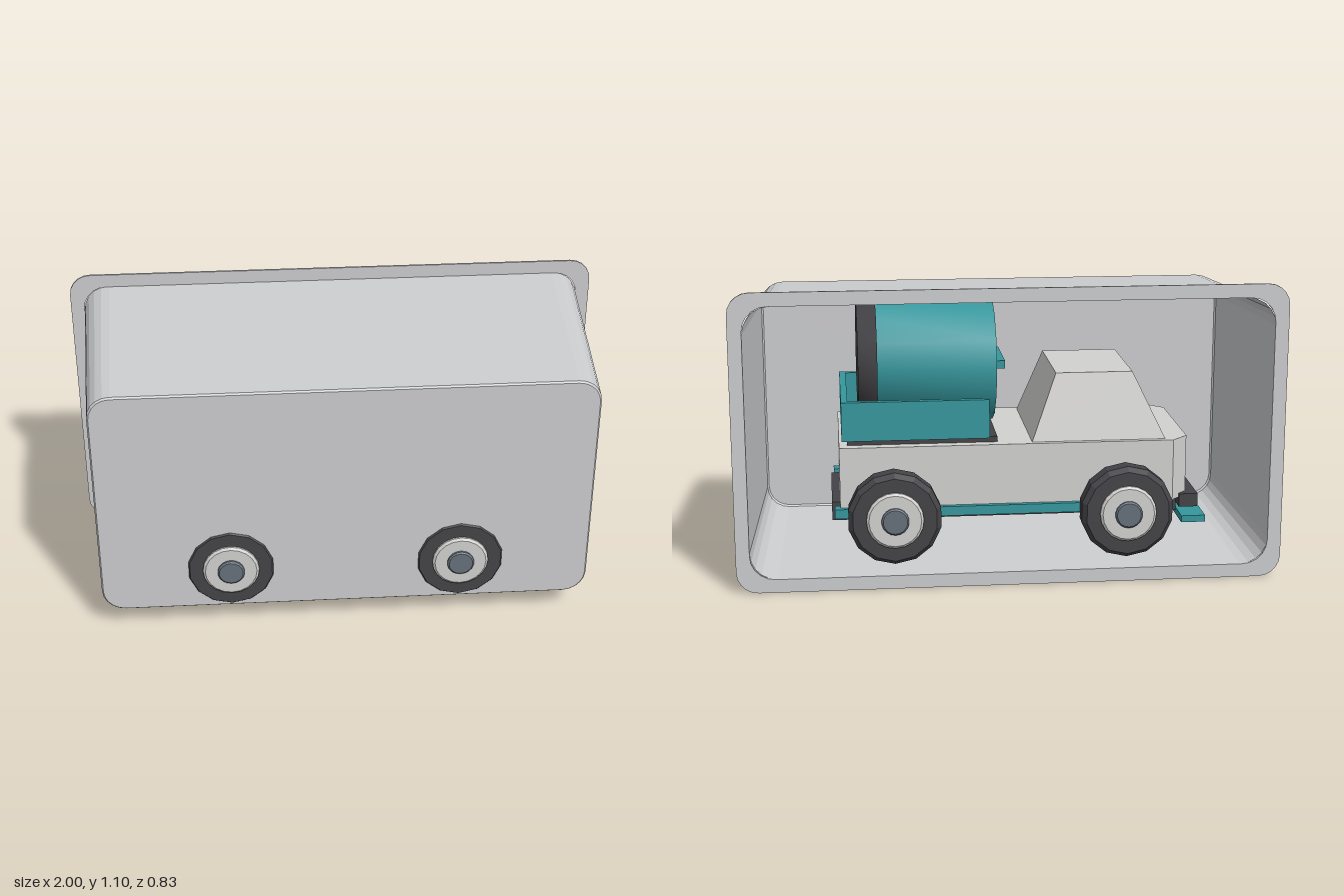
import * as THREE from 'three';
import { toCreasedNormals } from 'three/addons/utils/BufferGeometryUtils.js';

const mat = (name, color) => {
  const m = new THREE.MeshStandardMaterial({ color });
  m.name = name;
  return m;
};

export function createModel() {
  const model = new THREE.Group();
  model.name = 'truckInTray';
  const tray = mat('trayGrey', 0xcccdcf);
  tray.side = THREE.DoubleSide;
  const pale = mat('paleGrey', 0xd2d1cf);
  const teal = mat('teal', 0x36979d);
  const dark = mat('charcoal', 0x444347);
  const slate = mat('slate', 0x66717c);

  const add = (parent, name, geo, material, x = 0, y = 0, z = 0) => {
    const m = new THREE.Mesh(geo, material);
    m.name = name;
    m.position.set(x, y, z);
    parent.add(m);
    return m;
  };
  // box given by its limits on each axis
  const box = (parent, name, material, x0, x1, y0, y1, z0, z1) =>
    add(parent, name, new THREE.BoxGeometry(x1 - x0, y1 - y0, z1 - z0), material,
      (x0 + x1) / 2, (y0 + y1) / 2, (z0 + z1) / 2);
  const flat = (geo) => {
    const g = geo.index ? geo.toNonIndexed() : geo;
    g.computeVertexNormals();
    return g;
  };

  // rounded rectangle outline, counter-clockwise, centred at height cy
  const outline = (hw, hh, r, cy = 0.55, n = 5) => {
    const pts = [];
    [[1, -1], [1, 1], [-1, 1], [-1, -1]].forEach(([sx, sy], k) => {
      for (let i = 0; i <= n; i++) {
        const a = (k - 1 + i / n) * Math.PI / 2;
        pts.push(new THREE.Vector2(sx * (hw - r) + r * Math.cos(a), cy + sy * (hh - r) + r * Math.sin(a)));
      }
    });
    return pts;
  };

  // ---- tray: flange, tapered walls and closed front ----
  const trayGroup = new THREE.Group();
  trayGroup.name = 'tray';
  model.add(trayGroup);
  const flange = new THREE.Shape(outline(1, 0.55, 0.08));
  flange.holes.push(new THREE.Path(outline(0.95, 0.5, 0.09).reverse()));
  add(trayGroup, 'flange', new THREE.ExtrudeGeometry(flange, { depth: 0.008, bevelEnabled: false }), tray, 0, 0, -0.384);

  const sections = [[0.95, 0.5, 0.1, -0.384], [0.906, 0.459, 0.085, 0.378], [0.9, 0.453, 0.08, 0.385]];
  const pos = [], idx = [];
  const loops = sections.map(([w, h, r, z]) => outline(w, h, r).map((p) => [p.x, p.y, z]));
  const n = loops[0].length;
  loops.forEach((loop) => loop.forEach((p) => pos.push(...p)));
  for (let s = 0; s < loops.length - 1; s++) {
    for (let i = 0; i < n; i++) {
      const a = s * n + i, b = s * n + (i + 1) % n;
      idx.push(a, b, b + n, a, b + n, a + n);
    }
  }
  const walls = new THREE.BufferGeometry();
  walls.setAttribute('position', new THREE.Float32BufferAttribute(pos, 3));
  walls.setIndex(idx);
  add(trayGroup, 'trayWalls', flat(walls), tray);
  add(trayGroup, 'trayFront', new THREE.ShapeGeometry(new THREE.Shape(outline(0.9, 0.453, 0.08))), tray, 0, 0, 0.385);

  // ---- truck, cab towards -x ----
  const truck = new THREE.Group();
  truck.name = 'truck';
  model.add(truck);

  // body with chamfered nose corners, drawn in plan and extruded upwards
  const plan = new THREE.Shape([[0.62, -0.28], [0.62, 0.28], [-0.61, 0.28], [-0.67, 0.22], [-0.67, -0.22], [-0.61, -0.28]]
    .map(([x, z]) => new THREE.Vector2(x, -z)));
  const body = new THREE.ExtrudeGeometry(plan, { depth: 0.23, bevelEnabled: false });
  body.rotateX(-Math.PI / 2);
  add(truck, 'body', body, pale, 0, 0.275, 0);

  // cab: box whose top is drawn inwards
  const cab = new THREE.BoxGeometry(0.5, 0.25, 0.52);
  const cp = cab.attributes.position;
  for (let i = 0; i < cp.count; i++) {
    if (cp.getY(i) > 0) cp.setXYZ(i, cp.getX(i) * 0.57 + 0.012, cp.getY(i), cp.getZ(i) * 0.77);
  }
  add(truck, 'cab', flat(cab), pale, -0.335, 0.625, 0);

  // chassis, bumpers and side rails
  box(truck, 'chassis', dark, -0.64, 0.65, 0.21, 0.28, -0.2, 0.2);
  box(truck, 'noseBar', dark, -0.71, -0.64, 0.24, 0.29, -0.26, 0.26);
  box(truck, 'bumper', teal, -0.73, -0.64, 0.195, 0.22, -0.31, 0.31);
  for (const s of [-1, 1]) {
    box(truck, 'sideRail', teal, -0.36, 0.64, 0.245, 0.28, s * 0.275 - 0.025, s * 0.275 + 0.025);
    box(truck, 'bedSide', teal, 0.07, 0.61, 0.525, 0.67, s * 0.25 - 0.012, s * 0.25 + 0.012);
  }
  box(truck, 'bedEnd', teal, 0.586, 0.61, 0.525, 0.67, -0.24, 0.24);
  box(truck, 'bedFloor', teal, 0.07, 0.6, 0.525, 0.54, -0.25, 0.25);
  box(truck, 'bedBase', dark, 0.04, 0.59, 0.5, 0.526, -0.24, 0.24);

  // drum lying along x with a dark end ring and a bar on its front face
  const drum = (name, r0, r1, x0, x1, material) => {
    const g = new THREE.CylinderGeometry(r0, r1, x1 - x0, 14);
    g.rotateZ(-Math.PI / 2);
    add(truck, name, toCreasedNormals(g, 0.6), material, (x0 + x1) / 2, 0.775, 0);
  };
  drum('drum', 0.235, 0.235, 0.04, 0.48, teal);
  drum('drumRing', 0.215, 0.243, 0.475, 0.545, dark);
  box(truck, 'drumBar', teal, 0.0, 0.045, 0.755, 0.785, -0.13, 0.13);

  // ---- wheels ----
  const lathe = (pts, sides) => flat(new THREE.LatheGeometry(pts.map(([r, y]) => new THREE.Vector2(r, y)), sides));
  const tire = lathe([[0, 0.285], [0.155, 0.285], [0.17, 0.305], [0.172, 0.37], [0.155, 0.391], [0, 0.391]], 14);
  const rim = lathe([[0, 0.385], [0.104, 0.385], [0.104, 0.398], [0.095, 0.405], [0, 0.405]], 20);
  const cap = lathe([[0, 0.4], [0.05, 0.4], [0.05, 0.412], [0.044, 0.417], [0, 0.417]], 18);
  for (const x of [-0.425, 0.425]) {
    const axle = add(truck, 'axle', new THREE.CylinderGeometry(0.03, 0.03, 0.62, 10), dark, x, 0.262, 0);
    axle.rotation.x = Math.PI / 2;
    for (const s of [-1, 1]) {
      const wheel = new THREE.Group();
      wheel.name = 'wheel';
      wheel.position.set(x, 0.262, 0);
      wheel.rotation.x = s * Math.PI / 2;
      add(wheel, 'tire', tire, dark);
      add(wheel, 'rim', rim, pale);
      add(wheel, 'hubCap', cap, slate);
      truck.add(wheel);
    }
  }
  return model;
}
